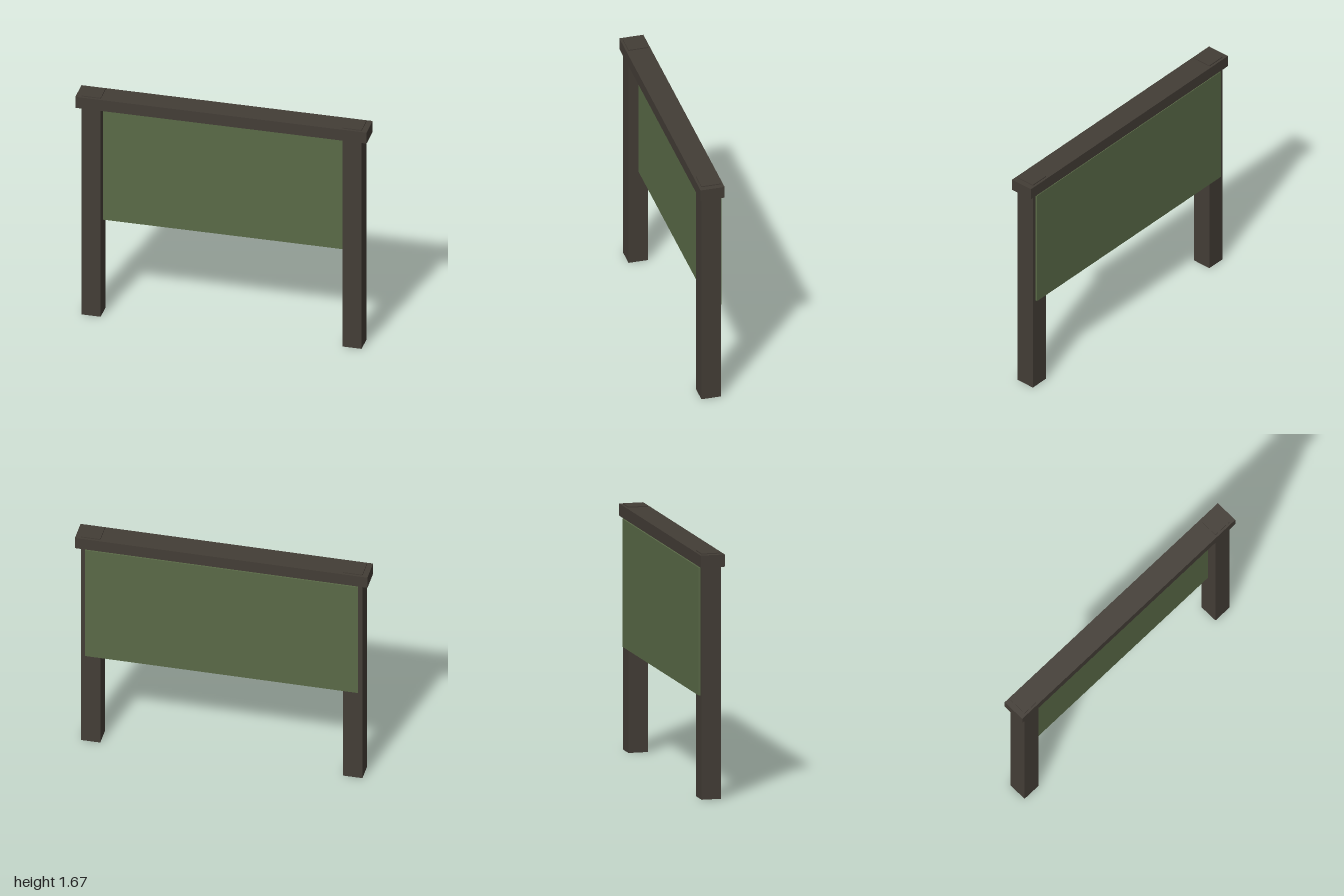
import * as THREE from 'three';

export function createModel() {
  const model = new THREE.Group();
  model.name = 'noticeBoard';

  const darkWood = new THREE.MeshStandardMaterial({ color: 0x433d36 });
  darkWood.name = 'dark wood';
  const greenPaint = new THREE.MeshStandardMaterial({ color: 0x5a6a47 });
  greenPaint.name = 'green paint';

  // Box given by its lower and upper corners
  function addBox(name, material, min, max) {
    const size = max.map((v, i) => v - min[i]);
    const mesh = new THREE.Mesh(new THREE.BoxGeometry(...size), material);
    mesh.position.set(...max.map((v, i) => (v + min[i]) / 2));
    mesh.name = name;
    model.add(mesh);
  }

  // Posts, their ends standing just proud of the top beam
  for (const [name, x] of [['leftPost', 0.896], ['rightPost', -0.896]]) {
    addBox(name, darkWood, [x - 0.066, 0, -0.067], [x + 0.066, 1.667, 0.067]);
  }

  // Top beam
  addBox('topBeam', darkWood, [-1, 1.577, -0.083], [1, 1.66, 0.083]);

  // Board let into the back of the posts
  addBox('board', greenPaint, [-0.933, 0.702, -0.08], [0.933, 1.568, -0.002]);

  return model;
}
